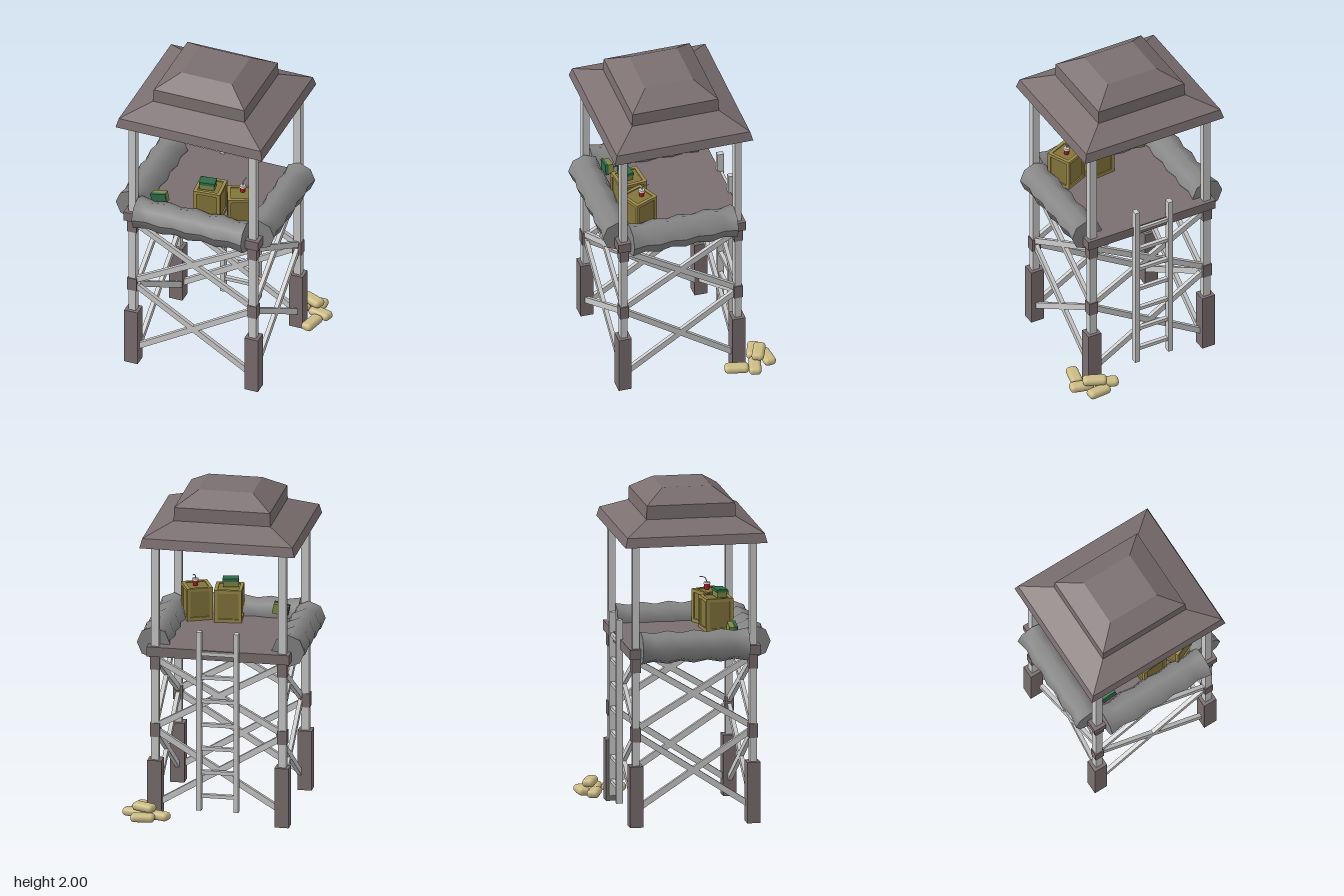
import * as THREE from 'three';
import { RoundedBoxGeometry } from 'three/addons/geometries/RoundedBoxGeometry.js';

const mat = (color, extra = {}) => new THREE.MeshStandardMaterial({ color, ...extra });
const MAT = {
  grey: mat(0xcccccc), dark: mat(0x7b6f70), roll: mat(0x858585), bag: mat(0xcbbb85),
  crate: mat(0x9a8a4a), panel: mat(0x84753c), green: mat(0x2f6b48), olive: mat(0x7d8a45),
  red: mat(0xb02020), lid: mat(0xdddddd),
};

function add(parent, name, geometry, material, x = 0, y = 0, z = 0) {
  const mesh = new THREE.Mesh(geometry, material);
  mesh.name = name;
  mesh.position.set(x, y, z);
  parent.add(mesh);
  return mesh;
}

const box = (parent, name, material, w, h, d, x, y, z) =>
  add(parent, name, new THREE.BoxGeometry(w, h, d), material, x, y, z);

function group(parent, name, x = 0, y = 0, z = 0, turn = 0) {
  const g = new THREE.Group();
  g.name = name;
  g.position.set(x, y, z);
  g.rotation.y = turn;
  parent.add(g);
  return g;
}

// Straight bar between two points
function beam(parent, name, a, b, height, thick) {
  const from = new THREE.Vector3(...a), to = new THREE.Vector3(...b);
  const mesh = new THREE.Mesh(new THREE.BoxGeometry(thick, height, from.distanceTo(to)), MAT.grey);
  mesh.name = name;
  mesh.position.copy(from).lerp(to, 0.5);
  mesh.lookAt(to);
  parent.add(mesh);
}

// Box whose top and bottom rectangles differ (half sizes)
function frustum(parent, name, y0, [x0, z0], y1, [x1, z1]) {
  const g = new THREE.BoxGeometry(2, 1, 2), p = g.attributes.position;
  for (let i = 0; i < p.count; i++) {
    const top = p.getY(i) > 0;
    p.setXYZ(i, p.getX(i) * (top ? x1 : x0), top ? y1 : y0, p.getZ(i) * (top ? z1 : z0));
  }
  g.computeVertexNormals();
  add(parent, name, g, MAT.dark);
}

// Padded roll with alternating thick and thin rings
function roll(parent, name, length, x, z, turn) {
  const g = new THREE.CylinderGeometry(1, 1, length, 8, 8), p = g.attributes.position;
  for (let i = 0; i < p.count; i++) {
    const ring = Math.round((p.getY(i) / length + 0.5) * 8);
    const r = ring % 2 ? 0.085 : 0.1;
    p.setX(i, p.getX(i) * r);
    p.setZ(i, p.getZ(i) * r);
  }
  g.rotateZ(Math.PI / 2);
  g.computeVertexNormals();
  add(parent, name, g, MAT.roll, x, 1.085, z).rotation.y = turn;
}

// Crate with raised frame bars around recessed panels
function crate(parent, x, z, size, turn) {
  const g = group(parent, 'crate', x, 1.08, z, turn), h = 0.2, t = 0.02, e = size / 2 - t / 2;
  box(g, 'cratePanels', MAT.panel, size - 0.016, h - 0.012, size - 0.016, 0, h / 2, 0);
  for (const s of [-1, 1]) for (const q of [-1, 1]) {
    box(g, 'cratePost', MAT.crate, t, h, t, s * e, h / 2, q * e);
    const y = h / 2 + q * (h / 2 - t / 2);
    box(g, 'crateRail', MAT.crate, size - 2 * t, t, t, 0, y, s * e);
    box(g, 'crateRail', MAT.crate, t, t, size - 2 * t, s * e, y, 0);
  }
}

// Small metal box with a darker lid
function supplyBox(parent, x, y, z, turn) {
  const g = group(parent, 'supplyBox', x, y, z, turn);
  box(g, 'supplyBoxBody', MAT.olive, 0.09, 0.034, 0.06, 0, 0.017, 0);
  box(g, 'supplyBoxLid', MAT.green, 0.096, 0.018, 0.066, 0, 0.041, 0);
  return g;
}

export function createModel() {
  const root = new THREE.Group();
  root.name = 'watchtower';
  const tower = group(root, 'tower', -0.027, 0, 0.045);
  const LX = 0.384, LZ = 0.353;

  // Legs with footings and collars
  for (const sx of [-1, 1]) for (const sz of [-1, 1]) {
    const x = sx * LX, z = sz * LZ;
    box(tower, 'leg', MAT.grey, 0.047, 1.72, 0.042, x, 0.86, z);
    box(tower, 'footing', MAT.dark, 0.086, 0.37, 0.08, x, 0.185, z);
    box(tower, 'middleCollar', MAT.dark, 0.058, 0.085, 0.053, x, 0.557, z);
    box(tower, 'upperCollar', MAT.dark, 0.058, 0.09, 0.053, x, 0.98, z);
  }

  // Crossed braces, two tiers on each side
  for (const [y0, y1] of [[0.09, 0.555], [0.575, 1.0]]) for (const s of [-1, 1]) {
    for (const [a, b] of [[y0, y1], [y1, y0]]) {
      beam(tower, 'brace', [-LX, a, s * LZ], [LX, b, s * LZ], 0.036, 0.025);
      const x = s < 0 ? -LX + 0.03 : LX;
      beam(tower, 'brace', [x, a, -LZ], [x, b, LZ], 0.036, 0.025);
    }
  }

  // Platform
  box(tower, 'platform', MAT.dark, 0.86, 0.06, 0.79, 0, 1.05, 0);

  // Stepped roof
  const roof = group(tower, 'roof');
  frustum(roof, 'eave', 1.705, [0.468, 0.428], 1.762, [0.453, 0.413]);
  frustum(roof, 'lowerSlope', 1.762, [0.453, 0.413], 1.836, [0.292, 0.269]);
  frustum(roof, 'roofStep', 1.836, [0.292, 0.269], 1.918, [0.289, 0.266]);
  frustum(roof, 'upperSlope', 1.918, [0.289, 0.266], 2.0, [0.162, 0.148]);

  // Ladder at the back
  const ladder = group(root, 'ladder', -0.028, 0, -0.355);
  for (const s of [-1, 1]) box(ladder, 'ladderRail', MAT.grey, 0.03, 1.115, 0.04, s * 0.112, 0.642, 0);
  for (let i = 0; i < 7; i++) box(ladder, 'rung', MAT.grey, 0.2, 0.022, 0.025, 0, 0.175 + i * 0.148, 0);

  // Padded rolls on the front and both sides
  roll(root, 'frontRoll', 0.698, -0.029, 0.413, 0);
  roll(root, 'leftRoll', 0.645, 0.375, 0.04, Math.PI / 2);
  roll(root, 'rightRoll', 0.645, -0.438, 0.04, Math.PI / 2);

  // Crates and supplies
  crate(root, 0.025, 0.26, 0.165, 0.1);
  crate(root, 0.218, 0.26, 0.157, 0.42);
  supplyBox(root, 0.018, 1.28, 0.28, 0.15);
  supplyBox(root, -0.28, 1.145, 0.275, 0.2).rotation.x = Math.PI / 2;

  // Drink cup with a bent straw
  const cup = group(root, 'cup', 0.225, 1.28, 0.243);
  add(cup, 'cupBody', new THREE.CylinderGeometry(0.019, 0.014, 0.035, 12), MAT.red, 0, 0.0175, 0);
  add(cup, 'cupLid', new THREE.CylinderGeometry(0.018, 0.022, 0.01, 12), MAT.lid, 0, 0.039, 0);
  const path = new THREE.CatmullRomCurve3([[0, 0.04, 0], [0, 0.066, -0.008], [0.004, 0.073, -0.016], [0.008, 0.076, -0.044]]
    .map((p) => new THREE.Vector3(...p)));
  add(cup, 'straw', new THREE.TubeGeometry(path, 10, 0.003, 6), MAT.lid);

  // Pile of sandbags beside the back left footing
  const bags = group(root, 'sandbags');
  const bagShape = new RoundedBoxGeometry(0.145, 0.05, 0.074, 4, 0.024);
  for (const [x, y, z, turn] of [
    [0.402, 0.055, -0.478, 0.09], [0.318, 0.055, -0.418, -0.35], [0.468, 0.055, -0.385, -0.25],
    [0.457, 0.055, -0.275, 1.35], [0.402, 0.105, -0.428, -0.4],
  ]) add(bags, 'sandbag', bagShape, MAT.bag, x, y, z).rotation.y = turn;

  return root;
}
